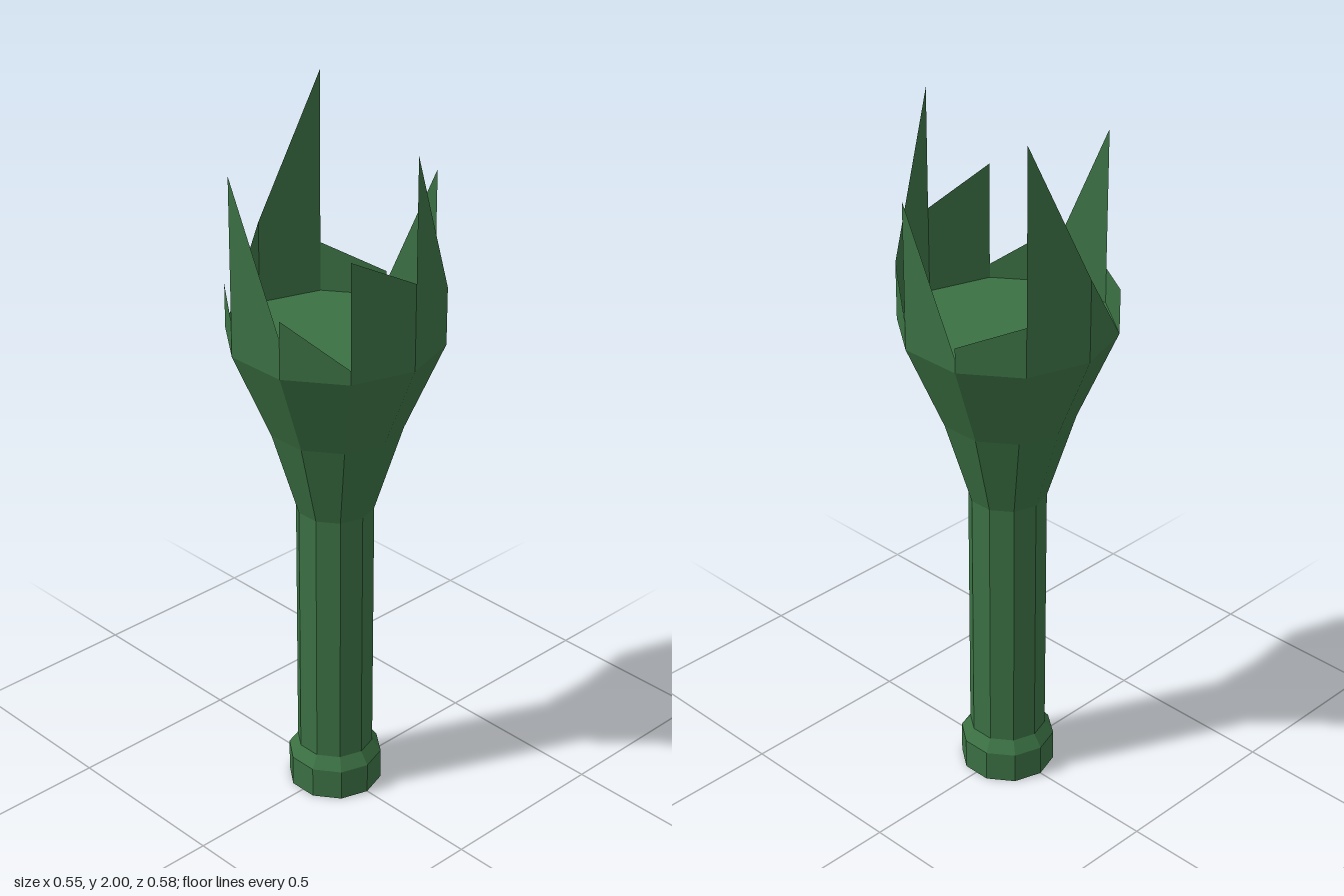
import * as THREE from 'three';

const SIDES = 10;
const RIM_RADIUS = 0.291;
const RIM_Y = 1.38;

// Faceted copy of a geometry
function faceted(geometry) {
  const flat = geometry.index ? geometry.toNonIndexed() : geometry;
  flat.computeVertexNormals();
  return flat;
}

export function createModel() {
  const model = new THREE.Group();
  model.name = 'brokenBottle';

  const glass = new THREE.MeshStandardMaterial({ color: 0x3b7143, flatShading: true });
  glass.name = 'green glass';
  const thinGlass = glass.clone();
  thinGlass.side = THREE.DoubleSide;

  const add = (name, geometry, material = glass) => {
    const mesh = new THREE.Mesh(faceted(geometry), material);
    mesh.name = name;
    model.add(mesh);
    return mesh;
  };

  // Ten-sided wall pieces, each a profile of [radius, y] from bottom to top
  const walls = {
    lip: [[0.132, 0], [0.132, 0.09], [0.107, 0.125]],
    neck: [[0.107, 0.125], [0.107, 0.88]],
    shoulder: [[0.107, 0.88], [0.184, 1.13], [RIM_RADIUS, RIM_Y]],
  };
  for (const [name, profile] of Object.entries(walls)) {
    const points = profile.map(([r, y]) => new THREE.Vector2(r, y));
    add(name, new THREE.LatheGeometry(points, SIDES));
  }

  // Flat discs closing the lip and the shoulder
  const disc = (radius, turn) =>
    new THREE.CircleGeometry(radius, SIDES, Math.PI / 2).rotateX(turn);
  add('lipCap', disc(0.132, Math.PI / 2));
  add('shoulderCap', disc(RIM_RADIUS, -Math.PI / 2)).position.y = RIM_Y;

  // Jagged shards: [start height, end height] of each rim panel, counted from the front
  const shards = [
    [1.955, 1.54], [1.54, 1.46], [1.79, 1.42], [1.45, 1.52], [2.0, 1.61],
    [1.61, 1.38], [1.505, 1.48], [1.87, 1.49], [1.54, 1.42], [1.71, 1.62],
  ];
  const rim = (i, y) => {
    const a = (i / SIDES) * Math.PI * 2;
    return [Math.sin(a) * RIM_RADIUS, y, Math.cos(a) * RIM_RADIUS];
  };
  shards.forEach(([start, end], i) => {
    const a = rim(i, RIM_Y), b = rim(i + 1, RIM_Y);
    const c = rim(i + 1, end), d = rim(i, start);
    const corners = end > RIM_Y ? [a, b, c, a, c, d] : [a, b, d];
    const geometry = new THREE.BufferGeometry();
    geometry.setAttribute('position', new THREE.Float32BufferAttribute(corners.flat(), 3));
    add('shard' + (i + 1), geometry, thinGlass);
  });

  return model;
}
